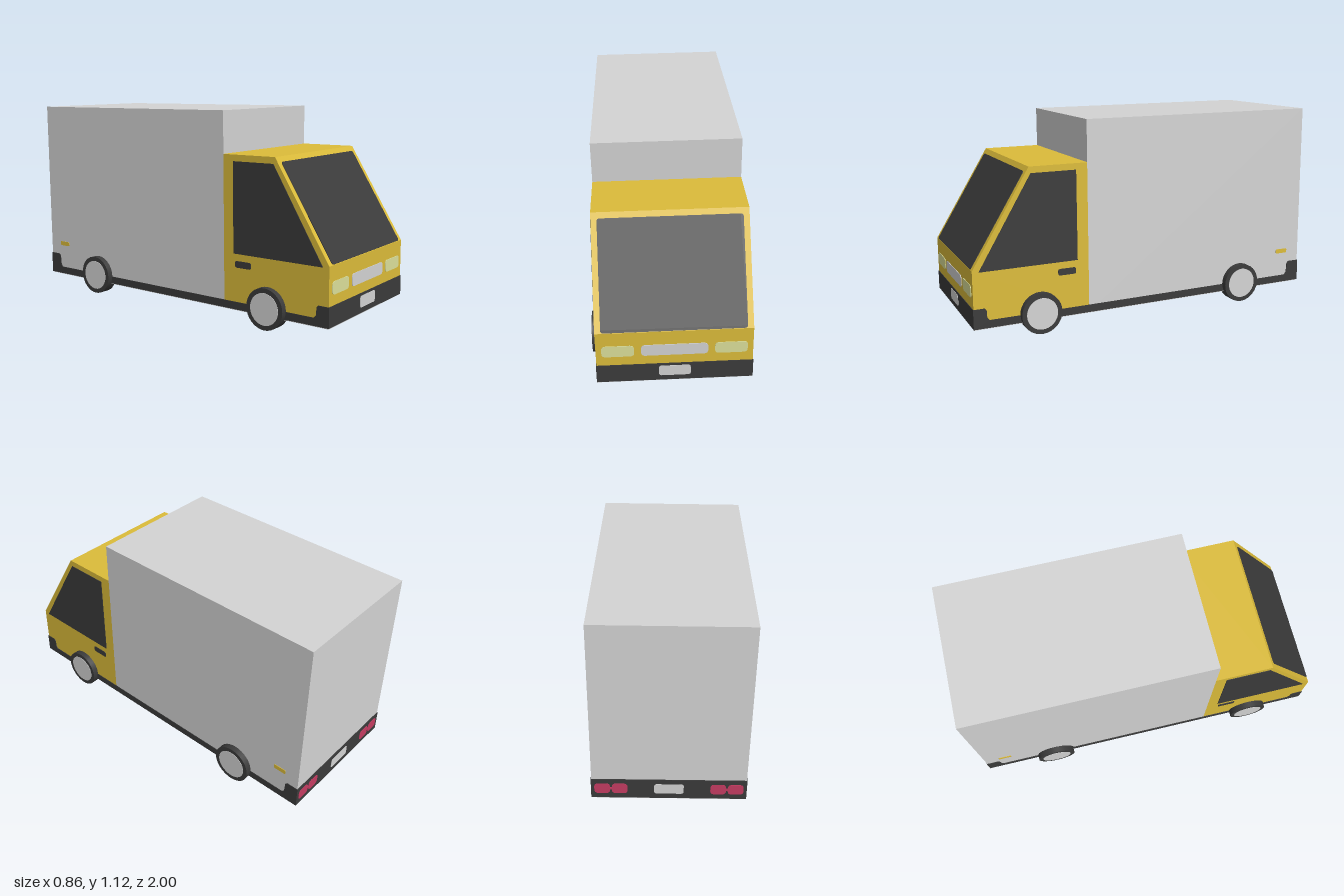
import * as THREE from 'three';

const W = 0.393;                 // half width of the body
const T = 0.003;                 // thickness of painted plates
const FRONT = 0.997, BACK = -0.997, JOINT = 0.367;
const FLOOR = 0.074, NOSE = 0.38, ROOF = 0.887, ROOF_Z = 0.685;

const paint = (name, color) => {
  const m = new THREE.MeshStandardMaterial({ color });
  m.name = name;
  return m;
};

function polygon(points) {
  return new THREE.Shape(points.map(([u, v]) => new THREE.Vector2(u, v)));
}

// rounded rectangle centred on (cx, cy)
function roundRect(cx, cy, w, h, r) {
  const s = new THREE.Shape();
  const x0 = cx - w / 2, x1 = cx + w / 2, y0 = cy - h / 2, y1 = cy + h / 2;
  s.moveTo(x0 + r, y0);
  s.lineTo(x1 - r, y0);
  s.quadraticCurveTo(x1, y0, x1, y0 + r);
  s.lineTo(x1, y1 - r);
  s.quadraticCurveTo(x1, y1, x1 - r, y1);
  s.lineTo(x0 + r, y1);
  s.quadraticCurveTo(x0, y1, x0, y1 - r);
  s.lineTo(x0, y0 + r);
  s.quadraticCurveTo(x0, y0, x0 + r, y0);
  return s;
}

const extrude = (shape, depth, start) =>
  new THREE.ExtrudeGeometry(shape, { depth, bevelEnabled: false, curveSegments: 6 }).translate(0, 0, start);

// shape drawn in (z, y), extruded across x from x0 to x1
const extrudeAcross = (shape, x0, x1) => extrude(shape, x1 - x0, -x1).rotateY(-Math.PI / 2);

export function createModel() {
  const yellow = paint('cab yellow', 0xdcbc3a);
  const grey = paint('light grey', 0xd4d4d4);
  const dark = paint('dark trim', 0x3b3b3b);
  const lampGlass = paint('headlight glass', 0xdce09a);
  const red = paint('tail light red', 0xc63c62);

  const van = new THREE.Group();
  van.name = 'boxVan';
  const add = (name, geometry, material) => {
    const mesh = new THREE.Mesh(geometry, material);
    mesh.name = name;
    van.add(mesh);
    return mesh;
  };
  const box = (w, h, d, x, y, z) => new THREE.BoxGeometry(w, h, d).translate(x, y, z);
  const onSides = (name, shape, material, t = T) => {
    add(name + 'Left', extrudeAcross(shape, W, W + t), material);
    add(name + 'Right', extrudeAcross(shape, -W - t, -W), material);
  };
  const onFront = (name, shape, material, t = T) => add(name, extrude(shape, t, FRONT), material);
  const onBack = (name, shape, material, t = T) => add(name, extrude(shape, t, BACK - t), material);

  // cab and cargo box
  add('cab', extrudeAcross(polygon([
    [JOINT, FLOOR], [FRONT, FLOOR], [FRONT, NOSE], [ROOF_Z, ROOF], [JOINT, ROOF],
  ]), -W, W), yellow);
  const top = 1.11;
  add('cargoBox', box(2 * W, top - FLOOR, JOINT - BACK, 0, (top + FLOOR) / 2, (JOINT + BACK) / 2), grey);
  add('floorPan', box(2 * W, 0.004, FRONT - BACK, 0, FLOOR - 0.002, 0), grey);

  // windscreen on the slope
  const run = FRONT - ROOF_Z, rise = ROOF - NOSE;
  const slope = Math.hypot(run, rise);
  const screen = add('windscreen', extrude(roundRect(0, slope * 0.476, 0.726, slope * 0.944, 0.015), T, 0), dark);
  screen.position.set(0, NOSE, FRONT);
  screen.rotation.x = -Math.atan2(run, rise);

  // side windows, handles and markers
  onSides('sideWindow', polygon([[0.43, 0.372], [0.963, 0.372], [0.676, 0.853], [0.43, 0.853]]), dark);
  onSides('doorHandle', roundRect(0.49, 0.317, 0.1, 0.035, 0.012), dark);
  onSides('sideMarker', roundRect(-0.878, 0.265, 0.075, 0.025, 0.008), yellow);

  // sill trim that rises into the bumper ends
  onSides('sillTrim', polygon([
    [BACK, FLOOR], [FRONT, FLOOR], [FRONT, 0.18], [0.94, 0.18], [0.93, 0.17], [0.928, 0.13], [0.915, 0.115],
    [-0.905, 0.115], [-0.918, 0.13], [-0.922, 0.185], [-0.932, 0.196], [BACK, 0.196],
  ]), dark);

  // front end
  onFront('frontBumper', polygon([[-W - T, FLOOR], [W + T, FLOOR], [W + T, 0.18], [-W - T, 0.18]]), dark);
  onFront('grille', roundRect(0, 0.267, 0.335, 0.066, 0.022), grey);
  onFront('frontPlate', roundRect(0, 0.135, 0.16, 0.062, 0.014), grey, 0.005);
  for (const [side, s] of [['Left', 1], ['Right', -1]]) {
    onFront('headlight' + side, roundRect(s * 0.283, 0.267, 0.163, 0.066, 0.022), lampGlass);
  }

  // rear end
  onBack('rearBumper', polygon([[-W - T, FLOOR], [W + T, FLOOR], [W + T, 0.196], [-W - T, 0.196]]), dark);
  onBack('rearPlate', roundRect(0, 0.137, 0.15, 0.062, 0.014), grey, 0.005);
  for (const [side, s] of [['Left', 1], ['Right', -1]]) {
    onBack('outerTailLight' + side, roundRect(s * 0.339, 0.137, 0.08, 0.064, 0.022), red, 0.005);
    onBack('innerTailLight' + side, roundRect(s * 0.25, 0.137, 0.08, 0.064, 0.022), red, 0.005);
    onBack('tailLightBridge' + side, roundRect(s * 0.295, 0.137, 0.03, 0.016, 0.004), red, 0.005);
  }

  // wheels with hub discs on both faces
  for (const [end, z] of [['front', 0.643], ['rear', -0.58]]) {
    for (const [side, s] of [['Left', 1], ['Right', -1]]) {
      const wheel = new THREE.Group();
      wheel.name = end + 'Wheel' + side;
      const part = (name, r, w, material) => {
        const mesh = new THREE.Mesh(new THREE.CylinderGeometry(r, r, w, 32).rotateZ(Math.PI / 2), material);
        mesh.name = name;
        wheel.add(mesh);
      };
      part('tyre', 0.11, 0.062, dark);
      part('hub', 0.085, 0.066, grey);
      wheel.position.set(s * 0.395, 0.116, z);
      van.add(wheel);
    }
  }

  // slight lean to one side
  van.rotation.z = 0.0145;
  const model = new THREE.Group();
  model.name = 'deliveryVan';
  model.add(van);
  return model;
}
